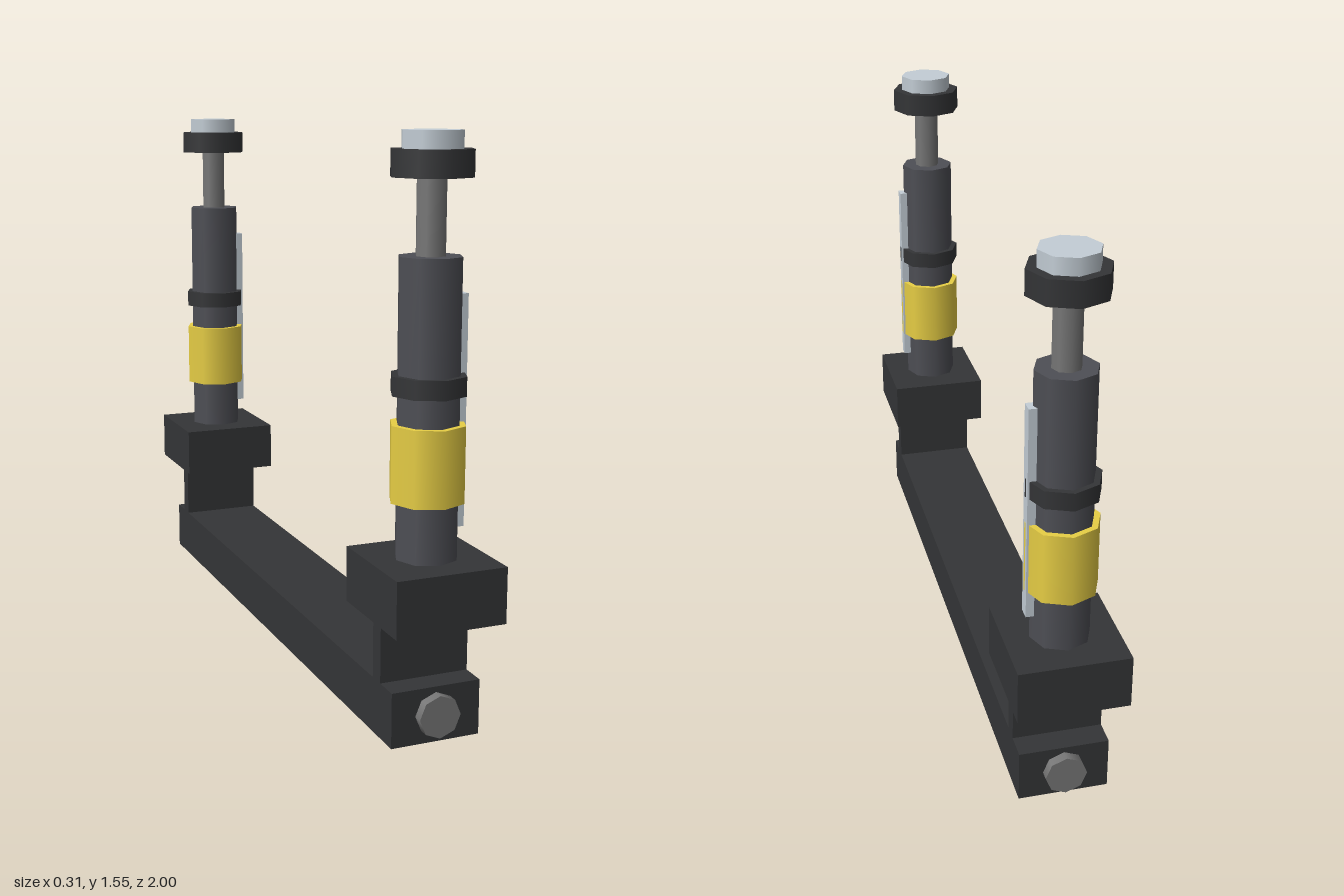
import * as THREE from 'three';

const material = (color) => new THREE.MeshStandardMaterial({ color });
const black = material(0x343537);
const graphite = material(0x4e4f55);
const yellow = material(0xe8cf45);
const steel = material(0x777777);
const silver = material(0xc4ced6);

function box(name, mat, [w, h, d], [x, y, z]) {
  const mesh = new THREE.Mesh(new THREE.BoxGeometry(w, h, d), mat);
  mesh.name = name;
  mesh.position.set(x, y, z);
  return mesh;
}

// Upright eight-sided cylinder with a corner facing +x, from y0 to y1
function round(name, mat, radius, y0, y1) {
  const mesh = new THREE.Mesh(new THREE.CylinderGeometry(radius, radius, y1 - y0, 8), mat);
  mesh.name = name;
  mesh.position.y = (y0 + y1) / 2;
  return mesh;
}

// One column, standing on its own axis
function createPost() {
  const post = new THREE.Group();
  post.add(
    box('mountBlock', black, [0.306, 0.15, 0.306], [0, 0.4, 0]),
    round('body', graphite, 0.083, 0.475, 1.245),
    round('yellowSleeve', yellow, 0.1, 0.625, 0.825),
    round('ring', black, 0.1, 0.9, 0.95),
    box('sideStrip', silver, [0.03, 0.6, 0.036], [0.083, 0.85, 0]),
    round('rod', steel, 0.039, 1.245, 1.437),
    round('collar', black, 0.108, 1.437, 1.505),
    round('cap', silver, 0.08, 1.505, 1.55),
  );
  return post;
}

export function createModel() {
  const model = new THREE.Group();
  model.name = 'twinPostStand';

  model.add(box('baseBeam', black, [0.25, 0.15, 1.84], [0, 0.075, 0]));

  for (const [end, s] of [['front', 1], ['back', -1]]) {
    const post = createPost();
    post.name = end + 'Post';
    post.position.z = s * 0.847;
    model.add(post);

    // Plate joining the post to the beam
    model.add(box(end + 'WebPlate', black, [0.25, 0.18, 0.046], [0, 0.238, s * 0.827]));

    // Bolt head on the end of the beam
    const bolt = round(end + 'Bolt', steel, 0.058, 0, 0.05);
    bolt.rotation.x = Math.PI / 2;
    bolt.position.set(0, 0.077, s * 0.922);
    model.add(bolt);
  }
  return model;
}
